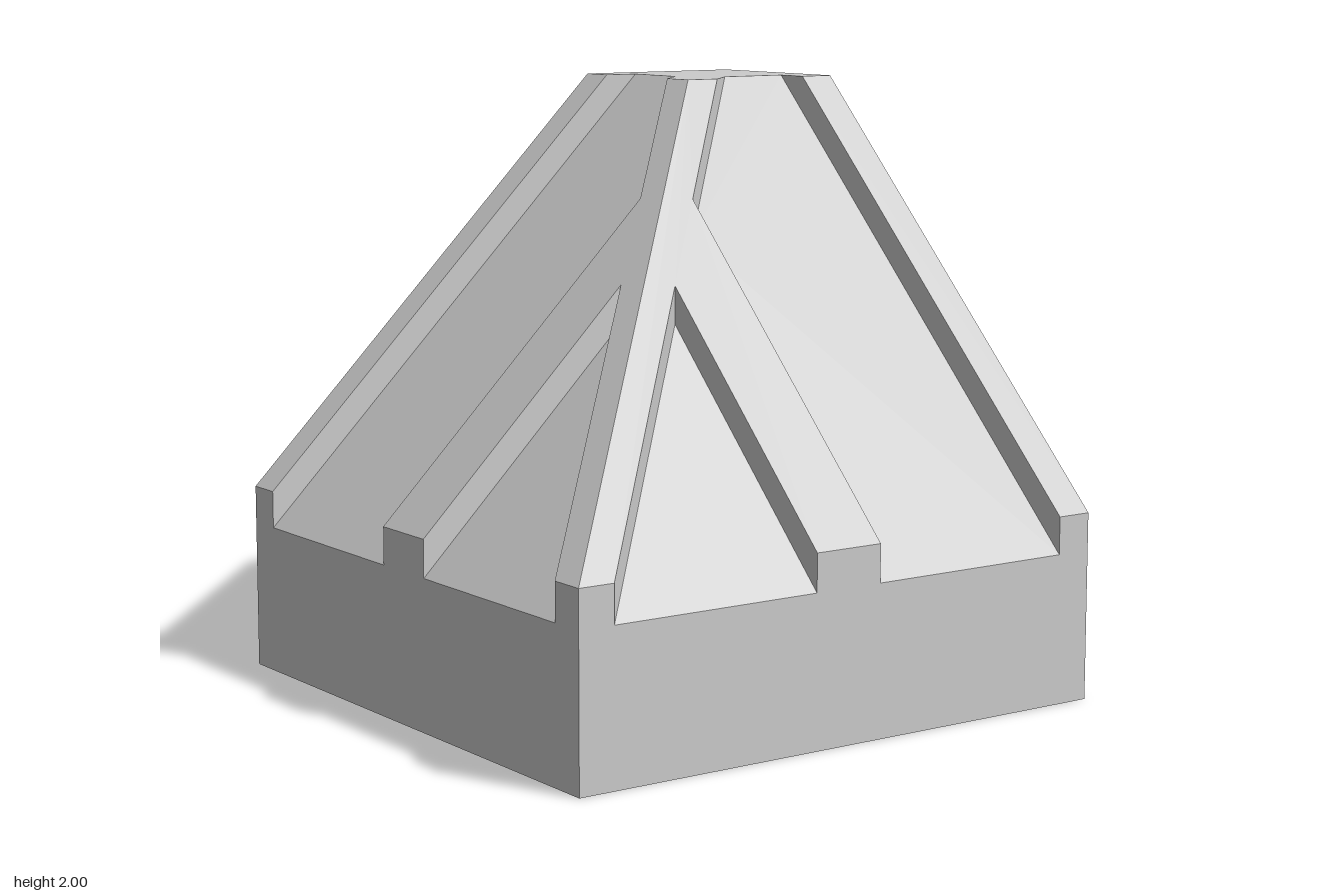
import * as THREE from 'three';

const material = new THREE.MeshStandardMaterial({ color: 0xcccccc, flatShading: true });
const rim = (z) => Math.min(2, 1.625 - z); // outer slope, capped by the flat top
const floor = (z) => 1.5 - z; // recessed slope inside the grooves

// Triangulates a planar polygon so that it faces along n; mirrored swaps it across the hip.
function face(points, n, mirrored = false) {
  const normal = new THREE.Vector3(...n);
  const a = n.map(Math.abs);
  const drop = a.indexOf(Math.max(...a));
  const [u, v] = [0, 1, 2].filter((i) => i !== drop);
  const flat = points.map((p) => new THREE.Vector2(p[u], p[v]));
  const out = [];
  for (const tri of THREE.ShapeUtils.triangulateShape(flat, [])) {
    const [p, q, r] = tri.map((i) => new THREE.Vector3(...points[i]));
    const facing = q.clone().sub(p).cross(r.clone().sub(p)).dot(normal) > 0;
    for (const c of facing !== mirrored ? [p, q, r] : [p, r, q]) {
      if (mirrored) out.push(-c.z, c.y, -c.x);
      else out.push(c.x, c.y, c.z);
    }
  }
  return out;
}

function mesh(name, positions) {
  const geometry = new THREE.BufferGeometry();
  geometry.setAttribute('position', new THREE.Float32BufferAttribute(positions, 3));
  geometry.computeVertexNormals();
  const m = new THREE.Mesh(geometry, material);
  m.name = name;
  return m;
}

// One half of the block: slope, grooves, flat top and two outer walls.
function half(label, mirrored) {
  const group = new THREE.Group();
  group.name = label + 'Half';
  const add = (name, faces) => group.add(mesh(label + name, faces.flatMap(([p, n]) => face(p, n, mirrored))));
  const lift = (plan, height) => plan.map(([x, z]) => [x, height(z), z]);
  const up = [0, 1, 0];

  // Raised ribs beside the grooves
  add('Ribs', [
    [lift([[-1, 1], [-0.875, 1], [-0.125, 0.25], [-0.125, 1], [0.125, 1], [0.125, 0], [0.5, -0.375], [0.375, -0.375]], rim), up],
    [lift([[0.875, 1], [1, 1], [1, -0.375], [0.875, -0.375]], rim), up],
  ]);

  // Flat top around the end of the long groove
  add('Top', [
    [lift([[0.375, -0.375], [0.5, -0.375], [0.625, -0.5], [0.875, -0.5], [0.875, -0.375], [1, -0.375], [1, -1]], () => 2), up],
  ]);

  // Groove floors
  add('GrooveFloors', [
    [lift([[-0.875, 1], [-0.125, 1], [-0.125, 0.25]], floor), up],
    [lift([[0.125, 1], [0.875, 1], [0.875, -0.5], [0.625, -0.5], [0.125, 0]], floor), up],
  ]);

  // Upright groove walls, tapering out where the floor meets the top
  const wall = ([x0, z0], [x1, z1], n) => {
    const p = [[x0, floor(z0), z0], [x1, floor(z1), z1]];
    if (rim(z1) > floor(z1)) p.push([x1, rim(z1), z1]);
    p.push([x0, rim(z0), z0]);
    return [p, n];
  };
  add('GrooveWalls', [
    wall([-0.875, 1], [-0.125, 0.25], [1, 0, 1]),
    wall([-0.125, 1], [-0.125, 0.25], [-1, 0, 0]),
    wall([0.125, 1], [0.125, 0], [1, 0, 0]),
    wall([0.125, 0], [0.5, -0.375], [1, 0, 1]),
    wall([0.5, -0.375], [0.625, -0.5], [1, 0, 1]),
    wall([0.875, 1], [0.875, -0.375], [-1, 0, 0]),
    wall([0.875, -0.375], [0.875, -0.5], [-1, 0, 0]),
  ]);

  // Notched low wall and tall sloping side wall
  const notched = [
    [-1, 0], [1, 0], [1, 0.625], [0.875, 0.625], [0.875, 0.5], [0.125, 0.5], [0.125, 0.625],
    [-0.125, 0.625], [-0.125, 0.5], [-0.875, 0.5], [-0.875, 0.625], [-1, 0.625],
  ];
  add('LowWall', [[notched.map(([x, y]) => [x, y, 1]), [0, 0, 1]]]);
  add('TallWall', [[[[1, 0, 1], [1, 0, -1], [1, 2, -1], [1, 2, -0.375], [1, 0.625, 1]], [1, 0, 0]]]);
  return group;
}

export function createModel() {
  const model = new THREE.Group();
  model.name = 'groovedHipBlock';
  model.add(half('front', false), half('left', true));
  model.add(mesh('underside', face([[-1, 0, -1], [1, 0, -1], [1, 0, 1], [-1, 0, 1]], [0, -1, 0])));
  return model;
}
